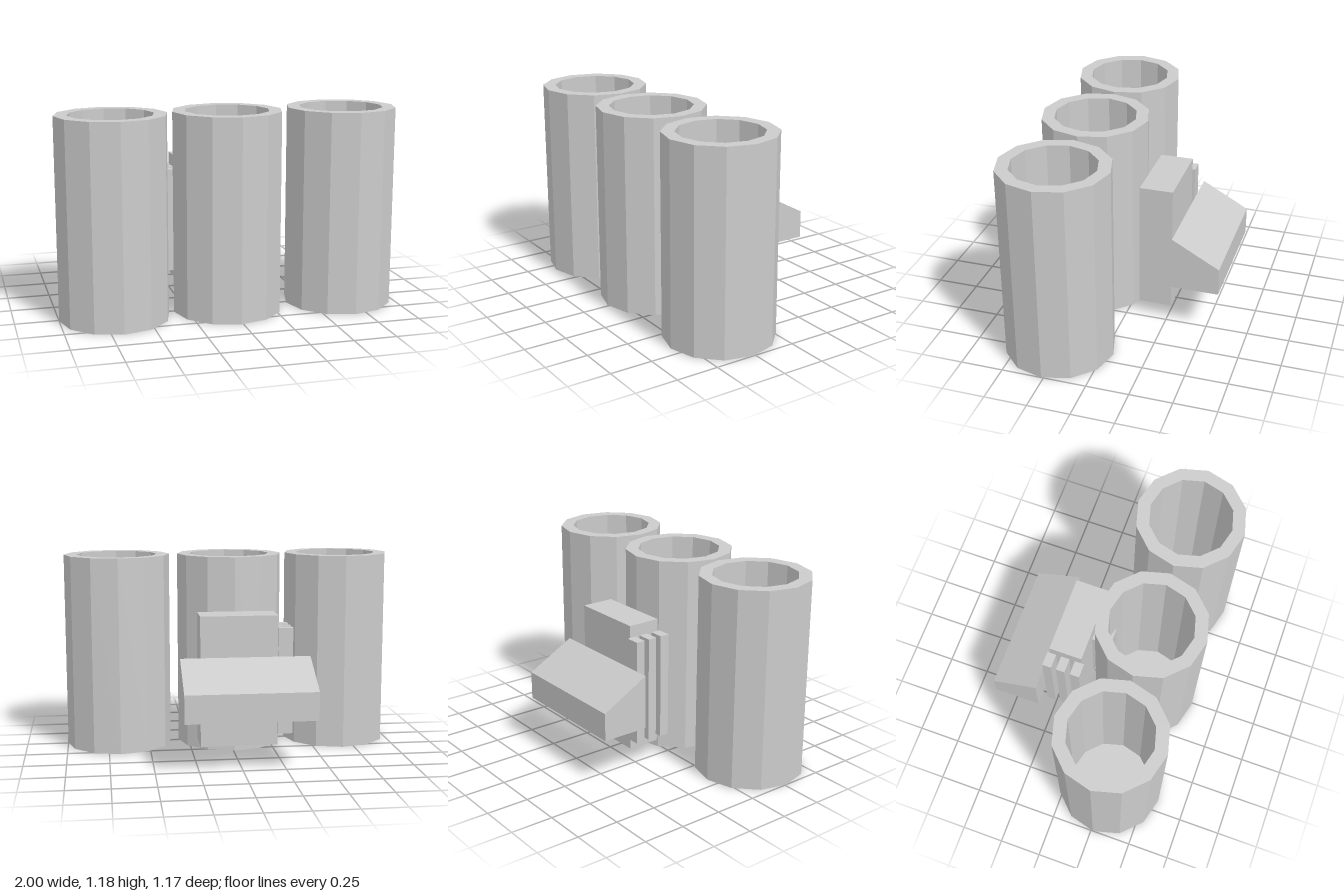
import * as THREE from 'three';

export function createModel() {
  const model = new THREE.Group();
  model.name = 'tripleTubeUnit';
  const grey = new THREE.MeshStandardMaterial({ color: 0xcccccc, flatShading: true });

  const add = (name, geometry) => {
    const mesh = new THREE.Mesh(geometry, grey);
    mesh.name = name;
    model.add(mesh);
    return mesh;
  };

  // Box given by its minimum and maximum on each axis
  const addBox = (name, [x0, x1], [y0, y1], [z0, z1]) =>
    add(name, new THREE.BoxGeometry(x1 - x0, y1 - y0, z1 - z0))
      .position.set((x0 + x1) / 2, (y0 + y1) / 2, (z0 + z1) / 2);

  // Three hollow twelve-sided tubes, closed at the bottom
  const outer = 0.32, inner = 0.245, height = 1.176, floor = 0.07;
  const profile = [[0, 0], [outer, 0], [outer, height], [inner, height], [inner, floor], [0, floor]]
    .map(([r, y]) => new THREE.Vector2(r, y));
  const tube = new THREE.LatheGeometry(profile, 12);
  [['rightTube', -0.68], ['middleTube', -0.01], ['leftTube', 0.68]].forEach(([name, x]) =>
    add(name, tube).position.set(x, 0, 0.264));

  // Bracket joining the middle tube to the grip block
  addBox('bracket', [-0.06, 0.05], [0.197, 0.745], [-0.09, 0.04]);

  // Palm block behind the tubes
  addBox('palmBlock', [-0.235, 0.22], [0.087, 0.857], [-0.272, -0.075]);

  // Row of three upright slats on the side of the block
  [[-0.288, -0.233], [-0.203, -0.15], [-0.117, -0.06]].forEach((z, i) =>
    addBox(`slat${i + 1}`, [-0.32, -0.235], [0.157, 0.785], z));

  // Sloped rear wedge: side profile (z, y) extruded across x
  const side = new THREE.Shape([[0.303, 0.3], [0.584, 0.3], [0.584, 0.465], [0.303, 0.62]]
    .map(([z, y]) => new THREE.Vector2(z, y)));
  const wedge = new THREE.ExtrudeGeometry(side, { depth: 0.76, bevelEnabled: false });
  wedge.rotateY(Math.PI / 2).translate(-0.42, 0, 0);
  add('rearWedge', wedge);

  return model;
}
